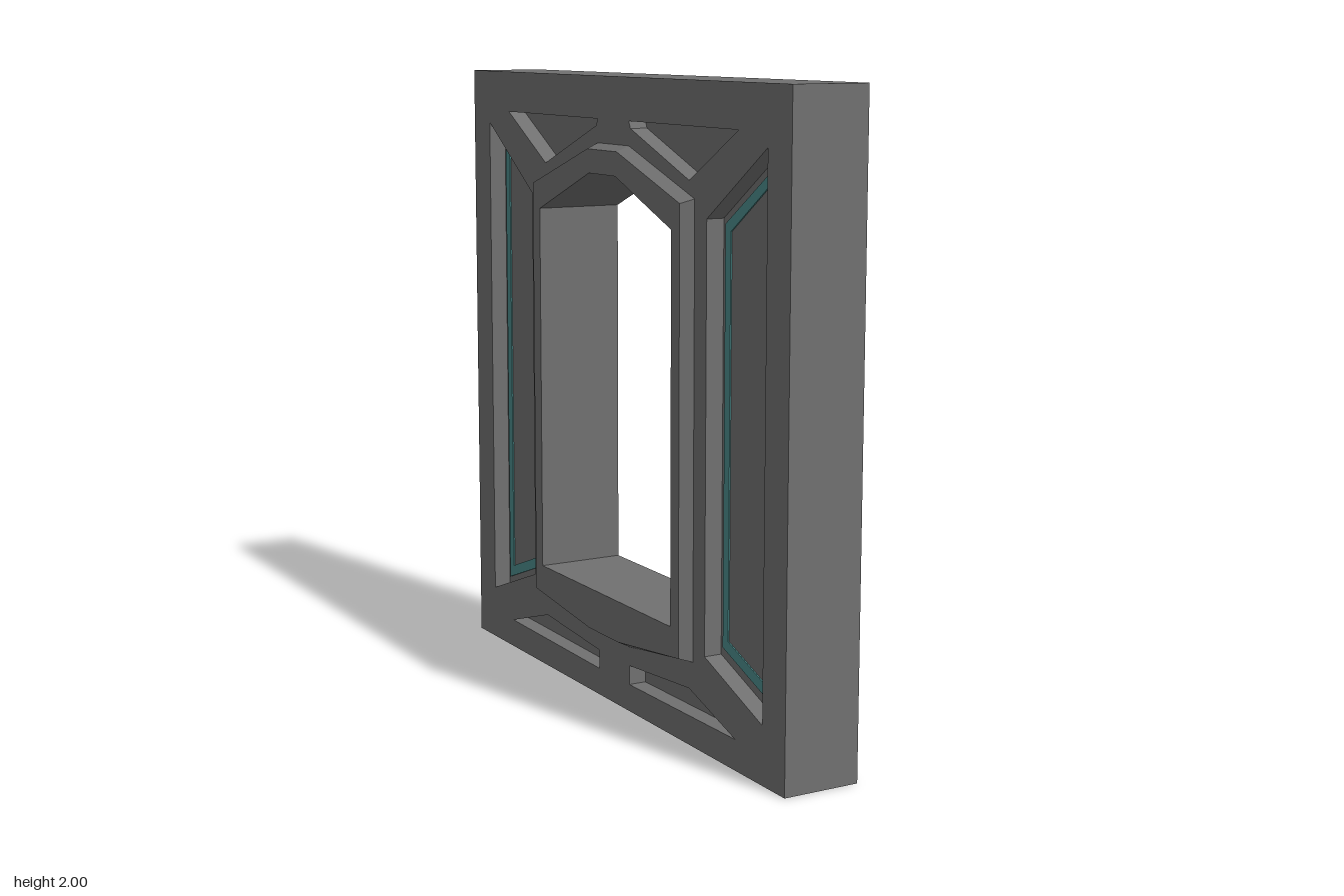
import * as THREE from 'three';

// Profiles are drawn as (z, y) and extruded towards -x, where the detail is.
const BACK = 0.145, FLOOR = -0.047, FACE = -0.105, FRAME = -0.145;

const points = (list) => list.map(([z, y]) => new THREE.Vector2(z, y));
const mirror = (list) => list.map(([z, y]) => [-z, y]).reverse();

// Extrude an outline with holes from x = from to x = to (to < from)
function slab(name, outline, holes, from, to, material) {
  const shape = new THREE.Shape(points(outline));
  shape.holes = holes.map((h) => new THREE.Path(points(h)));
  const geo = new THREE.ExtrudeGeometry(shape, { depth: from - to, bevelEnabled: false });
  geo.rotateY(-Math.PI / 2).translate(from, 0, 0);
  const mesh = new THREE.Mesh(geo, material);
  mesh.name = name;
  return mesh;
}

// Join matching counter-clockwise loops, each at its own x, with flat quads
function loft(name, loops, material) {
  const pos = [];
  for (let k = 0; k + 1 < loops.length; k++) {
    const a = loops[k], b = loops[k + 1], n = a.pts.length;
    for (let i = 0; i < n; i++) {
      const j = (i + 1) % n;
      const at = (l, m) => [l.x, l.pts[m][1], l.pts[m][0]];
      const [p, q, r, s] = [at(a, i), at(a, j), at(b, j), at(b, i)];
      pos.push(...p, ...q, ...r, ...p, ...r, ...s);
    }
  }
  const geo = new THREE.BufferGeometry();
  geo.setAttribute('position', new THREE.Float32BufferAttribute(pos, 3));
  geo.computeVertexNormals();
  const mesh = new THREE.Mesh(geo, material);
  mesh.name = name;
  return mesh;
}

// Full counter-clockwise loop from its +z half, listed from bottom to top
const fullLoop = (half) => [...half, ...mirror(half)];

export function createModel() {
  const grey = new THREE.MeshStandardMaterial({ color: 0x707070 });
  grey.name = 'wallGrey';
  const teal = new THREE.MeshStandardMaterial({ color: 0x4a8a8a });
  teal.name = 'tealTrim';
  const model = new THREE.Group();
  model.name = 'doorwayWall';

  const square = [[-1, 0], [1, 0], [1, 2], [-1, 2]];
  const opening = fullLoop([[0.085, 0.365], [0.425, 0.365], [0.425, 1.565], [0.085, 1.7]]);

  // Recesses of the +z half: tall side panel, upper and lower pockets
  const recesses = [
    [[0.56, 0.3], [0.88, 0.18], [0.88, 1.825], [0.56, 1.605]],
    [[0.11, 1.845], [0.46, 1.71], [0.73, 1.867], [0.1, 1.867]],
    [[0.1, 0.088], [0.735, 0.095], [0.47, 0.178], [0.1, 0.15]],
  ];
  const allRecesses = [...recesses, ...recesses.map(mirror)];

  // Wall core, and the outer layer pierced by the recesses
  model.add(slab('wallCore', square, [opening], BACK, FLOOR, grey));
  model.add(slab('recessedFacing', square, [opening, ...allRecesses], FLOOR, FACE, grey));

  // Raised door frame with a chamfered outer edge
  const outerBase = fullLoop([[0.1, 0.212], [0.492, 0.265], [0.492, 1.658], [0.1, 1.792]]);
  const outerFront = fullLoop([[0.095, 0.232], [0.474, 0.277], [0.474, 1.645], [0.095, 1.775]]);
  model.add(loft('doorFrame', [
    { x: FACE, pts: outerBase },
    { x: FRAME, pts: outerFront },
    { x: FRAME, pts: opening },
    { x: FACE, pts: opening },
  ], grey));

  // Thin teal lines around the floors of the side panels
  const trimOuter = [[0.575, 0.325], [0.868, 0.215], [0.868, 1.79], [0.575, 1.59]];
  const trimInner = [[0.605, 0.35], [0.838, 0.262], [0.838, 1.735], [0.605, 1.57]];
  for (const [name, side] of [['leftTrim', (l) => l], ['rightTrim', mirror]]) {
    model.add(slab(name, side(trimOuter), [side(trimInner)], FLOOR, FLOOR - 0.004, teal));
  }
  return model;
}
